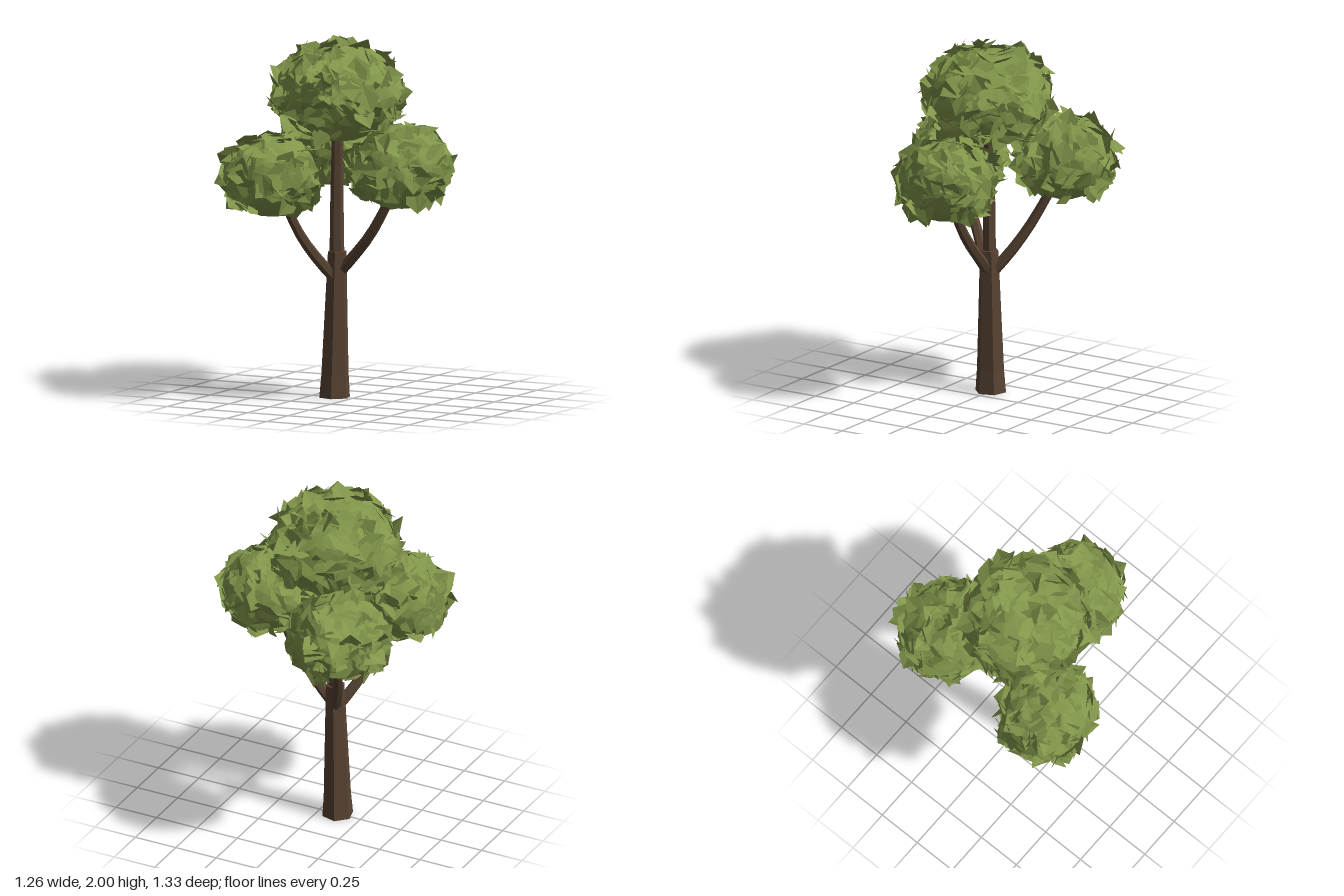
import * as THREE from 'three';
import { mergeGeometries } from 'three/addons/utils/BufferGeometryUtils.js';

// Small seeded random generator
function seeded(seed) {
  let s = seed;
  return () => {
    s = (s * 1664525 + 1013904223) % 4294967296;
    return s / 4294967296;
  };
}

// Hard facets without a shading flag
function faceted(geometry) {
  const g = geometry.index ? geometry.toNonIndexed() : geometry;
  g.computeVertexNormals();
  return g;
}

// Broad pointed leaves, lying on or lifting off the surface of an ellipsoid
function leafGeometry(radii, count, rand) {
  const up = new THREE.Vector3(0, 1, 0);
  const pos = [];
  for (let i = 0; i < count; i++) {
    // uneven spiral spread that leaves the underside bare
    const y = 1 - 1.7 * (i + rand()) / count;
    const ring = Math.sqrt(1 - y * y);
    const a = i * 2.39996 + rand() * 1.2;
    const dir = new THREE.Vector3(ring * Math.cos(a), y, ring * Math.sin(a));
    const centre = dir.clone().multiply(radii).multiplyScalar(0.97 + rand() * 0.09);
    const normal = dir.clone().divide(radii).normalize();
    const t1 = new THREE.Vector3().crossVectors(up, normal).normalize();
    const t2 = new THREE.Vector3().crossVectors(normal, t1);
    const spin = rand() * Math.PI * 2;
    const along = t1.clone().multiplyScalar(Math.cos(spin)).addScaledVector(t2, Math.sin(spin));
    const tilt = 0.1 + Math.pow(rand(), 1.6) * 1.0;
    const length = along.clone().multiplyScalar(Math.cos(tilt)).addScaledVector(normal, Math.sin(tilt));
    const roll = (rand() - 0.5) * 0.7;
    const side = new THREE.Vector3().crossVectors(normal, along).applyAxisAngle(length, roll);
    const face = new THREE.Vector3().crossVectors(length, side);
    const size = 0.105 + rand() * 0.055;
    const point = (l, w, h) => centre.clone().addScaledVector(length, l * size)
      .addScaledVector(side, w * size).addScaledVector(face, h * size);
    const base = point(-0.5, 0, 0);
    const tip = point(0.6, 0, -0.05);
    for (const s of [-1, 1]) {
      const low = point(-0.38, s * 0.36, 0.03);
      const high = point(0.12, s * 0.44, 0.05);
      for (const t of [[base, low, high], [base, high, tip]]) {
        // wind every triangle to look away from the crown
        const n = t[1].clone().sub(t[0]).cross(t[2].clone().sub(t[0]));
        if (n.dot(normal) < 0) t.reverse();
        for (const p of t) pos.push(p.x, p.y, p.z);
      }
    }
  }
  const g = new THREE.BufferGeometry();
  g.setAttribute('position', new THREE.Float32BufferAttribute(pos, 3));
  g.computeVertexNormals();
  return g;
}

// Tapered, six-sided branch along a curve
function branchGeometry(points, r0, r1) {
  const curve = new THREE.CatmullRomCurve3(points.map(p => new THREE.Vector3(...p)));
  const steps = 7, sides = 6;
  const g = new THREE.TubeGeometry(curve, steps, 1, sides, false);
  const p = g.attributes.position;
  const v = new THREE.Vector3();
  for (let i = 0; i < p.count; i++) {
    const t = Math.floor(i / (sides + 1)) / steps;
    const c = curve.getPointAt(t);
    v.fromBufferAttribute(p, i).sub(c).multiplyScalar(r0 + (r1 - r0) * t).add(c);
    p.setXYZ(i, v.x, v.y, v.z);
  }
  return faceted(g);
}

export function createModel() {
  const tree = new THREE.Group();
  tree.name = 'tree';
  const bark = new THREE.MeshStandardMaterial({ color: 0x584433 });
  bark.name = 'bark brown';
  const green = new THREE.MeshStandardMaterial({ color: 0x81954a, side: THREE.DoubleSide });
  green.name = 'leaf green';

  const add = (name, geometry, material) => {
    const mesh = new THREE.Mesh(geometry, material);
    mesh.name = name;
    tree.add(mesh);
    return mesh;
  };

  // Six-sided trunk with flared foot, leaning slightly towards the centre
  const profile = [[0, 0], [0.088, 0], [0.078, 0.13], [0.068, 0.4], [0.053, 0.81], [0, 0.815]]
    .map(([r, y]) => new THREE.Vector2(r, y));
  const trunk = new THREE.LatheGeometry(profile, 6, Math.PI / 12);
  const tp = trunk.attributes.position;
  for (let i = 0; i < tp.count; i++) tp.setX(i, tp.getX(i) - 0.11 + 0.02 * tp.getY(i));
  add('trunk', faceted(trunk), bark);

  // Slim upper trunk and three side branches
  add('upperTrunk', branchGeometry(
    [[-0.095, 0.7, 0], [-0.095, 1.1, 0], [-0.09, 1.55, 0]], 0.042, 0.03), bark);
  add('leftBranch', branchGeometry(
    [[-0.085, 0.69, 0], [0.0, 0.78, 0], [0.12, 0.92, 0.01], [0.27, 1.17, 0.02]], 0.033, 0.025), bark);
  add('frontBranch', branchGeometry(
    [[-0.105, 0.67, 0.02], [-0.165, 0.77, 0.09], [-0.225, 0.91, 0.18], [-0.27, 1.12, 0.3]], 0.033, 0.025), bark);
  add('backBranch', branchGeometry(
    [[-0.105, 0.69, -0.02], [-0.155, 0.8, -0.1], [-0.21, 0.95, -0.19], [-0.27, 1.19, -0.31]], 0.033, 0.025), bark);

  // Leaf crowns: name, centre, radii, number of leaves
  const crowns = [
    ['topCrown', [-0.09, 1.685, 0.005], [0.335, 0.265, 0.325], 250],
    ['leftCrown', [0.31, 1.295, 0.02], [0.265, 0.22, 0.25], 160],
    ['frontCrown', [-0.315, 1.25, 0.345], [0.255, 0.22, 0.24], 160],
    ['backCrown', [-0.31, 1.335, -0.365], [0.265, 0.22, 0.25], 160],
  ];
  crowns.forEach(([name, centre, r, count], i) => {
    const rand = seeded(17 + i * 101);
    const core = new THREE.IcosahedronGeometry(1, 3);
    core.scale(...r);
    core.deleteAttribute('uv');
    const leaves = leafGeometry(new THREE.Vector3(...r), count, rand);
    add(name, mergeGeometries([faceted(core), leaves]), green).position.set(...centre);
  });

  return tree;
}
